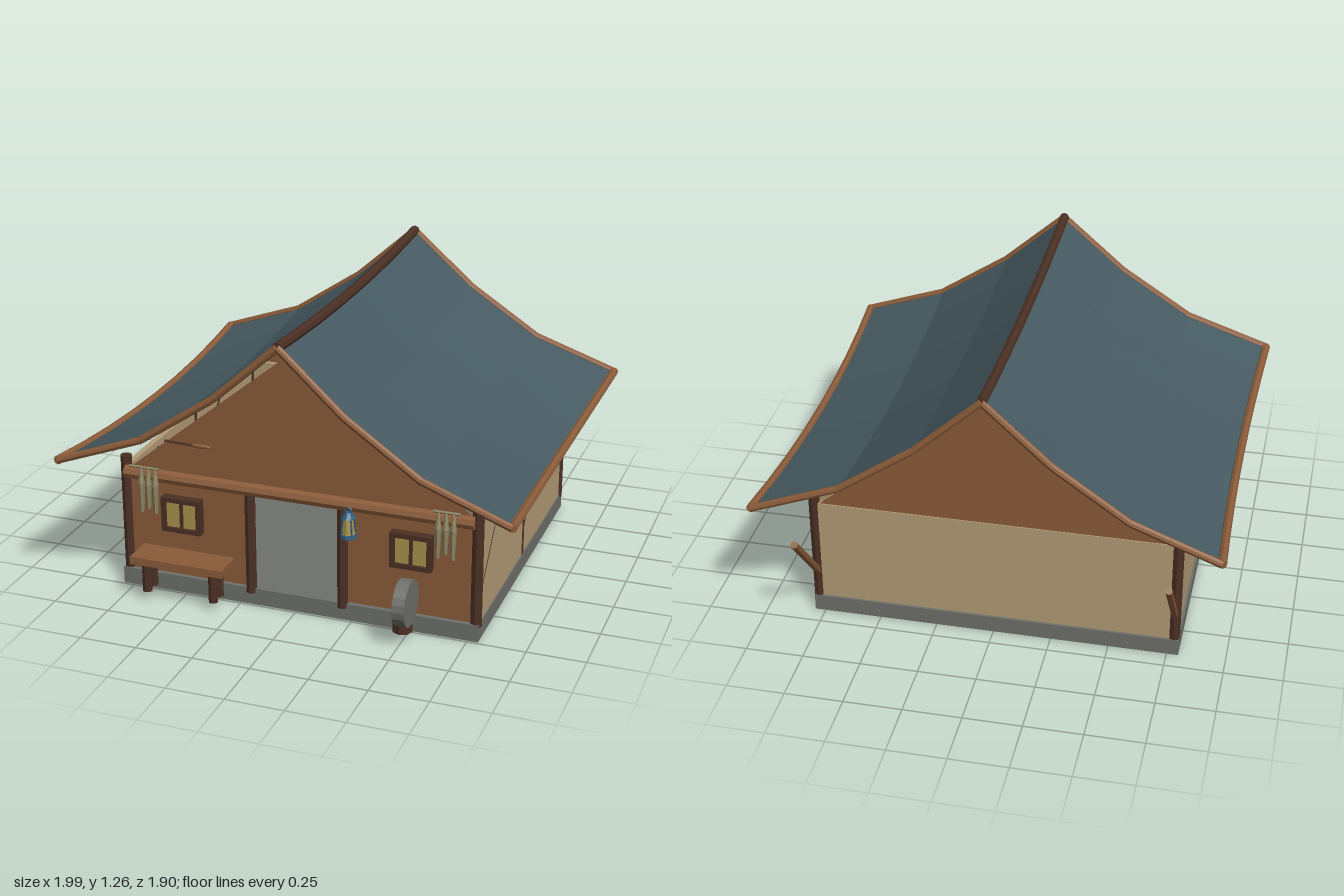
import * as THREE from 'three';

export function createModel() {
  const model = new THREE.Group();
  model.name = 'hut';
  const mat = (name, color, extra = {}) => {
    const m = new THREE.MeshStandardMaterial({ color, flatShading: true, ...extra });
    m.name = name;
    return m;
  };
  const timber = mat('brown timber', 0x8b5c3a, { side: THREE.DoubleSide });
  const dark = mat('dark timber', 0x4b3024);
  const canvas = mat('tan wall', 0xb49c76);
  const stone = mat('grey stone', 0x6f716b);
  const slate = mat('slate roof', 0x475b63, { side: THREE.DoubleSide });
  const glass = mat('yellow glass', 0xab944b);
  const blue = mat('blue metal', 0x2f5f80);
  const dried = mat('dried fish', 0x8c8462);

  const add = (name, geo, material, x = 0, y = 0, z = 0, parent = model) => {
    const m = new THREE.Mesh(geo, material);
    m.name = name;
    m.position.set(x, y, z);
    parent.add(m);
    return m;
  };
  // box given by its limits
  const block = (name, x0, x1, y0, y1, z0, z1, material, parent = model) =>
    add(name, new THREE.BoxGeometry(x1 - x0, y1 - y0, z1 - z0), material,
      (x0 + x1) / 2, (y0 + y1) / 2, (z0 + z1) / 2, parent);
  // round pole between two points
  const pole = (name, a, b, r, material, r2 = r, sides = 8) => {
    const p = new THREE.Vector3(...a), q = new THREE.Vector3(...b);
    const m = add(name, new THREE.CylinderGeometry(r2, r, p.distanceTo(q), sides), material);
    m.position.copy(p).add(q).multiplyScalar(0.5);
    m.quaternion.setFromUnitVectors(new THREE.Vector3(0, 1, 0), q.sub(p).normalize());
    return m;
  };

  // foundation and walls
  block('foundation', -0.8, 0.795, 0, 0.075, -0.67, 0.74, stone);
  for (const s of [-1, 1]) {
    block('sideWall', Math.min(s * 0.765, s * 0.79), Math.max(s * 0.765, s * 0.79), 0.075, 0.55, -0.65, 0.715, canvas);
    block('frontWall', s < 0 ? -0.765 : 0.2, s < 0 ? -0.2 : 0.765, 0.075, 0.55, 0.695, 0.72, timber);
  }
  block('wallOverDoor', -0.2, 0.2, 0.5, 0.55, 0.695, 0.72, timber);
  block('backWall', -0.765, 0.765, 0.075, 0.55, -0.66, -0.635, canvas);

  // triangular gables
  const triangle = new THREE.Shape([[-0.75, 0.55], [0.75, 0.55], [0, 1.16]].map(p => new THREE.Vector2(...p)));
  add('frontGable', new THREE.ShapeGeometry(triangle), timber, 0, 0, 0.715);
  add('backGable', new THREE.ShapeGeometry(triangle), timber, 0, 0, -0.655).rotation.y = Math.PI;

  // posts and slanting braces
  for (const s of [-1, 1]) {
    for (const [z, r, top] of [[0.713, 0.025, 0.595], [0.033, 0.018, 0.57], [-0.645, 0.025, 0.6]]) {
      pole('sidePost', [s * 0.777, 0.06, z], [s * 0.777, top, z], r, dark);
      pole('brace', [s * 0.776, 0.2, z - 0.01], [s * 0.776, 0.52, z - 0.285], 0.016, z < -0.5 ? timber : dark);
    }
    pole('doorPost', [s * 0.205, 0.055, 0.73], [s * 0.205, 0.55, 0.73], 0.024, dark);
  }
  pole('frontBeam', [-0.77, 0.53, 0.735], [0.77, 0.53, 0.735], 0.029, timber);

  // sagging roof, flaring towards its corners
  const profile = [[0, 1.235], [0.28, 0.985], [0.6, 0.77], [0.975, 0.635]];
  const steps = 8;
  const roofPoint = (s, i, j) => {
    const t = (j / steps) * 2 - 1, [x, y] = profile[i], k = 1 - t * t;
    return [s * (x - 0.025 * k * x), y - k * (0.033 + 0.012 * x), 0.0375 + t * (0.868 + 0.04 * x)];
  };
  for (const s of [-1, 1]) {
    const pos = [], index = [];
    for (let i = 0; i < profile.length; i++) {
      for (let j = 0; j <= steps; j++) {
        pos.push(...roofPoint(s, i, j));
        if (i && j) {
          const d = i * (steps + 1) + j, c = d - 1, b = d - steps - 1, a = b - 1;
          index.push(...(s > 0 ? [a, b, d, a, d, c] : [a, d, b, a, c, d]));
        }
      }
    }
    const geo = new THREE.BufferGeometry();
    geo.setAttribute('position', new THREE.Float32BufferAttribute(pos, 3));
    geo.setIndex(index);
    geo.computeVertexNormals();
    add('roofSlope', geo, slate);
    // edge poles
    for (let j = 0; j < steps; j++)
      pole('eavePole', roofPoint(s, 3, j), roofPoint(s, 3, j + 1), 0.019, timber);
    for (const j of [0, steps])
      for (let i = 0; i < 3; i++)
        pole('vergePole', roofPoint(s, i, j), roofPoint(s, i + 1, j), 0.016, timber);
  }
  for (let j = 0; j < steps; j++)
    pole('ridgePole', roofPoint(1, 0, j), roofPoint(1, 0, j + 1), 0.022, dark);

  // windows with two panes
  for (const x of [-0.512, 0.506]) {
    const w = new THREE.Group();
    w.name = 'window';
    w.position.set(x, 0.367, 0);
    model.add(w);
    block('windowBack', -0.07, 0.07, -0.06, 0.06, 0.715, 0.74, dark, w);
    for (const s of [-1, 1]) {
      add('frameSide', new THREE.BoxGeometry(0.02, 0.156, 0.045), dark, s * 0.079, 0, 0.738, w);
      add('frameRail', new THREE.BoxGeometry(0.14, 0.02, 0.045), dark, 0, s * 0.068, 0.738, w);
      add('pane', new THREE.BoxGeometry(0.06, 0.116, 0.008), glass, s * 0.038, 0, 0.744, w);
    }
    add('mullion', new THREE.BoxGeometry(0.014, 0.12, 0.035), dark, 0, 0, 0.736, w);
  }

  // bench
  block('benchSeat', -0.69, -0.27, 0.18, 0.213, 0.755, 0.895, timber);
  for (const x of [-0.635, -0.33])
    for (const z of [0.79, 0.85])
      pole('benchLeg', [x, 0.043, z], [x, 0.185, z], 0.021, dark);

  // grindstone on its stump
  pole('stump', [0.498, 0.045, 0.822], [0.498, 0.17, 0.822], 0.044, dark, 0.04);
  pole('grindstone', [0.49, 0.187, 0.848], [0.543, 0.187, 0.848], 0.099, stone, 0.099, 20);

  // lantern
  const lantern = new THREE.Group();
  lantern.name = 'lantern';
  lantern.position.set(0.253, 0, 0.79);
  model.add(lantern);
  add('lanternGlass', new THREE.CylinderGeometry(0.019, 0.029, 0.075, 8), glass, 0, 0.462, 0, lantern);
  add('lanternBase', new THREE.CylinderGeometry(0.035, 0.037, 0.015, 8), blue, 0, 0.42, 0, lantern);
  add('lanternCap', new THREE.CylinderGeometry(0.013, 0.031, 0.025, 8), blue, 0, 0.51, 0, lantern);
  add('lanternRing', new THREE.TorusGeometry(0.014, 0.004, 5, 12), blue, 0, 0.527, 0, lantern);
  for (let i = 0; i < 4; i++) {
    const a = (i + 0.5) * Math.PI / 2, c = Math.cos(a), d = Math.sin(a);
    pole('lanternBar', [0.253 + c * 0.033, 0.42, 0.79 + d * 0.033], [0.253 + c * 0.024, 0.505, 0.79 + d * 0.024], 0.004, blue, 0.004, 5);
  }

  // racks of drying fish
  for (const [x0, x1, first] of [[-0.74, -0.605, -0.683], [0.6, 0.715, 0.625]]) {
    pole('rackBar', [x0, 0.57, 0.76], [x1, 0.57, 0.76], 0.006, dried, 0.006, 6);
    for (let i = 0; i < 3; i++) {
      const x = first + i * 0.032, low = 0.37 + (i % 2) * 0.02;
      pole('driedFish', [x, low, 0.77], [x, 0.5, 0.768], 0.009, dried, 0.015, 6);
      pole('driedFishTail', [x, 0.5, 0.768], [x, 0.57, 0.762], 0.015, dried, 0.005, 6);
    }
  }

  // paddle hung on the gable
  pole('paddleShaft', [-0.59, 0.69, 0.722], [-0.46, 0.687, 0.722], 0.005, dark, 0.005, 6);
  add('paddleBlade', new THREE.SphereGeometry(0.05, 10, 6), timber, -0.43, 0.686, 0.722).scale.set(1, 0.2, 0.12);

  return model;
}
